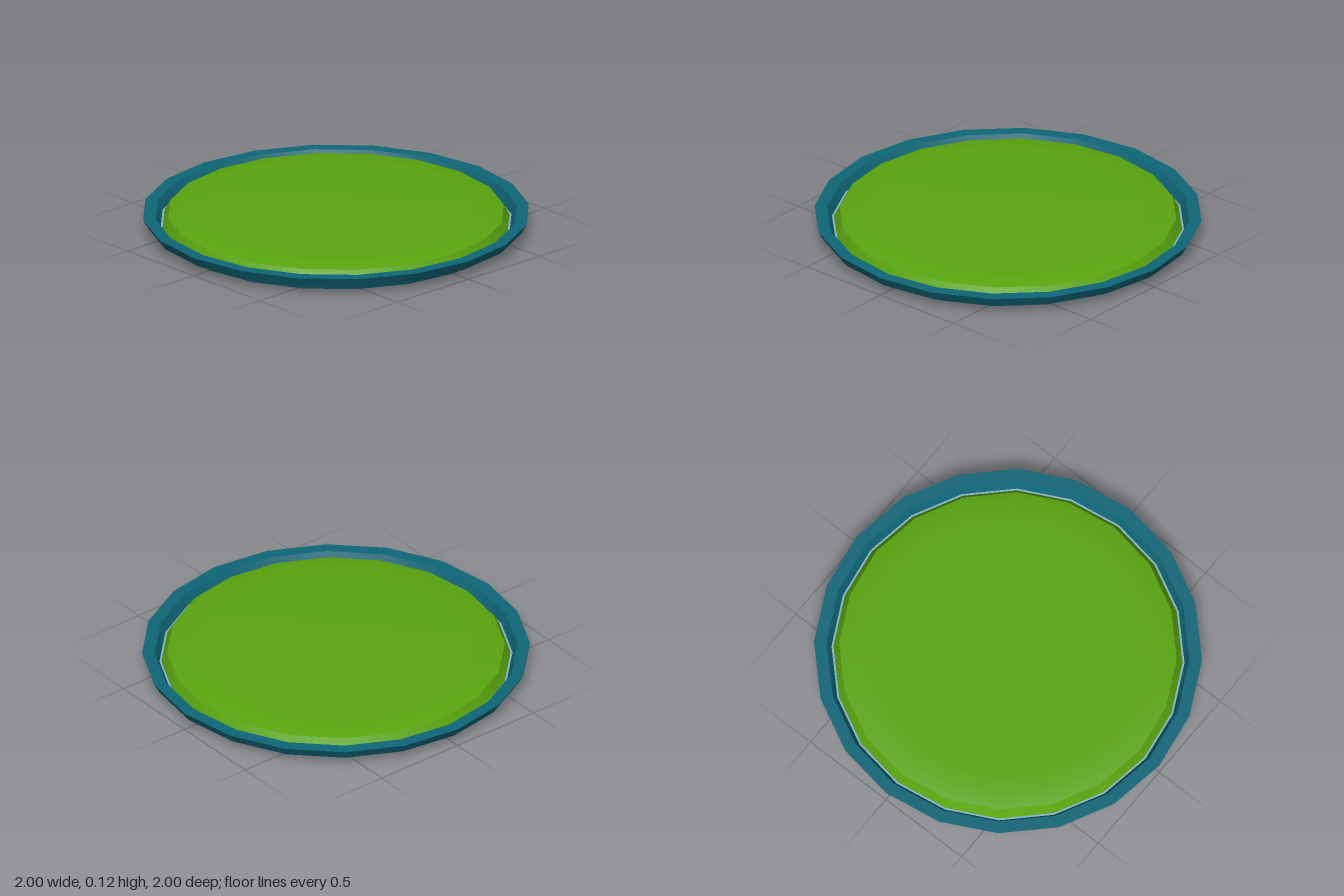
import * as THREE from 'three';
import { toCreasedNormals } from 'three/addons/utils/BufferGeometryUtils.js';

const SIDES = 20;
const FLOOR = 0.045; // height of the thin plate between foot and rim

// Revolve a [radius, height] profile into a 20-sided part
function turned(name, profile, color, side = THREE.FrontSide) {
  const points = profile.map(([r, y]) => new THREE.Vector2(r, y));
  const geometry = toCreasedNormals(new THREE.LatheGeometry(points, SIDES), 0.5);
  const mesh = new THREE.Mesh(geometry, new THREE.MeshStandardMaterial({ color, side }));
  mesh.name = name;
  return mesh;
}

export function createModel() {
  const teal = 0x0e6577, green = 0x5aa50f, paleBlue = 0x86b2c6;
  const group = new THREE.Group();
  group.name = 'roundDish';

  group.add(
    // flared outer wall, flat lip and sloping inner wall
    turned('rim', [[0.97, FLOOR], [1, 0.097], [0.935, 0.097], [0.91, FLOOR]], teal),
    // tapered foot below the rim
    turned('foot', [[0.885, 0], [0.908, FLOOR]], teal),
    // inward-facing lining of the hollow foot
    turned('footLining', [[0.902, FLOOR], [0.885, 0]], green),
    // thin plate, seen below the rim and inside the foot
    turned('plate', [[0.97, FLOOR], [0, FLOOR]], paleBlue, THREE.DoubleSide),
    // raised pad with a steep edge and a softly bevelled top
    turned('pad', [[0.9, FLOOR], [0.87, 0.1], [0.8, 0.115], [0.7, 0.116], [0, 0.116]], green),
  );
  return group;
}
